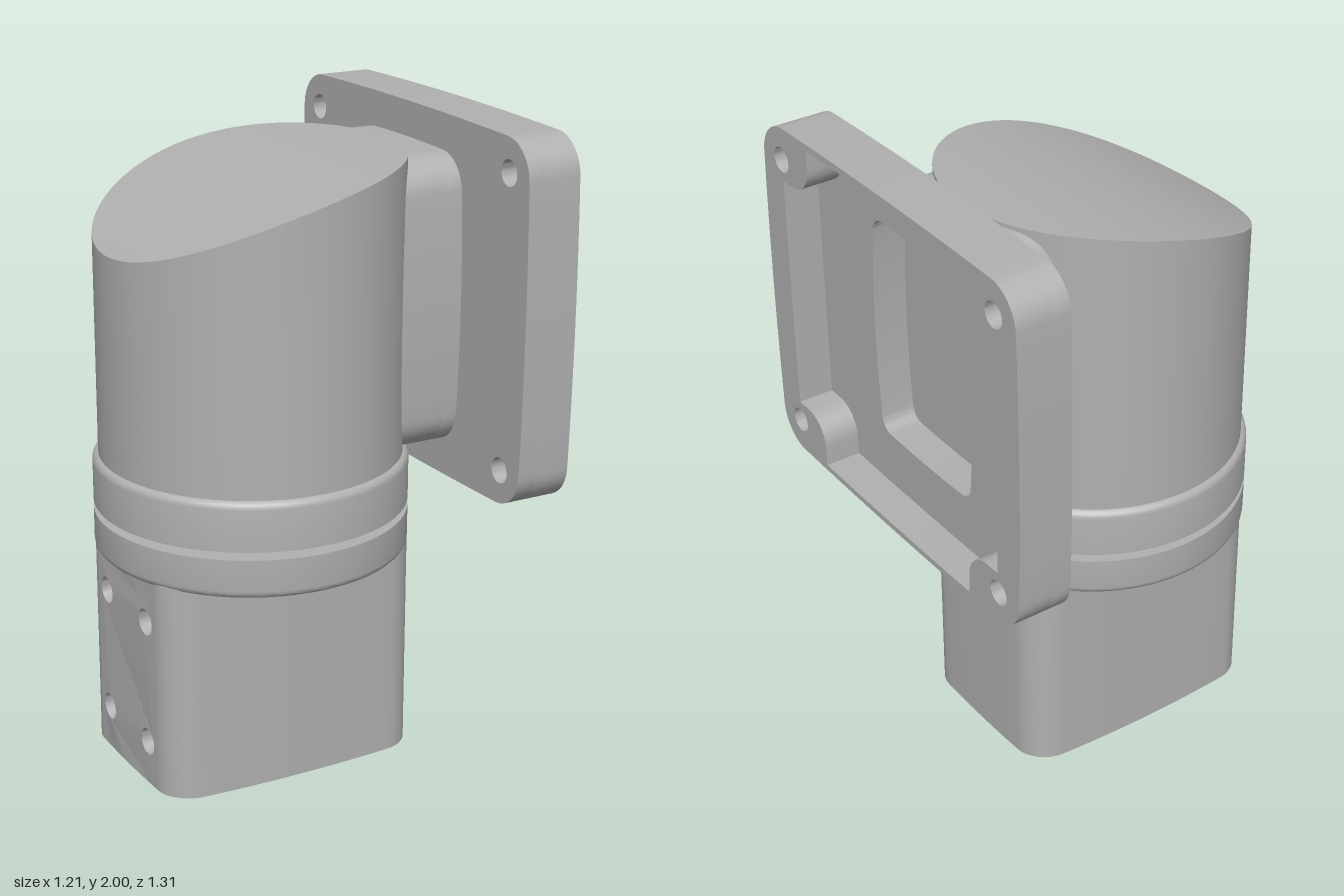
import * as THREE from 'three';
import { toCreasedNormals } from 'three/addons/utils/BufferGeometryUtils.js';

const V2 = (x, y) => new THREE.Vector2(x, y);
const AXIS_X = -0.12; // x of the round body's axis
const FLANGE_Y = 1.435; // height of the flange centre

// Bow the sides of an outline outwards: they fall back by bx, by (fractions) at the corners
const bow = (pts, hw, hh, bx, by) =>
  pts.map(p => V2(p.x * (1 - bx * (p.y / hh) ** 2), p.y * (1 - by * (p.x / hw) ** 2)));

// Rounded rectangle with bowed sides; its last (closing) side is the one at -x
function bowedRect(hw, hh, r, bx, by) {
  const pts = [];
  [[-1, -1], [1, -1], [1, 1], [-1, 1]].forEach(([sx, sy], k) => {
    for (let i = 0; i <= 8; i++) {
      const a = Math.PI + (k + i / 8) * Math.PI / 2;
      pts.push(V2(sx * (hw - r) + r * Math.cos(a), sy * (hh - r) + r * Math.sin(a)));
    }
    if (k === 3) return;
    const dx = [1, 0, -1][k], dy = [0, 1, 0][k], last = pts[pts.length - 1];
    const len = 2 * ((dx ? hw : hh) - r);
    for (let i = 1; i < 12; i++) pts.push(V2(last.x + dx * len * i / 12, last.y + dy * len * i / 12));
  });
  // subdivide the closing side too
  return { open: bow(pts, hw, hh, bx, by), closed: bow(pts.concat(
    Array.from({ length: 11 }, (_, i) => V2(-hw, (hh - r) * (1 - (i + 1) / 6)))), hw, hh, bx, by) };
}

const circle = (x, y, r) => Array.from({ length: 28 }, (_, i) =>
  V2(x + r * Math.cos(i * Math.PI / 14), y + r * Math.sin(i * Math.PI / 14)));

function extrude(outline, holes, depth) {
  const shape = new THREE.Shape(outline);
  shape.holes = holes.map(h => new THREE.Path(h));
  return new THREE.ExtrudeGeometry(shape, { depth, bevelEnabled: false });
}

export function createModel() {
  const model = new THREE.Group();
  const grey = new THREE.MeshStandardMaterial({ color: 0xb0b0b0 });
  grey.name = 'plain grey';

  const add = (name, geometry, parent = model) => {
    const mesh = new THREE.Mesh(toCreasedNormals(geometry, 0.6), grey);
    mesh.name = name;
    parent.add(mesh);
    return mesh;
  };
  const lathe = (name, pts) => {
    const mesh = add(name, new THREE.LatheGeometry(pts, 80));
    mesh.position.x = AXIS_X;
    return mesh;
  };

  // Socket: hollow bowed tube, open below; the -x wall is a separate drilled plate
  const socket = new THREE.Group();
  socket.name = 'socket';
  socket.position.x = AXIS_X;
  model.add(socket);
  const outer = { w: 0.435, h: 0.315 }, inner = { w: 0.37, h: 0.255 };
  const bx = 0.02, by = 0.065, height = 0.69;
  const out = bowedRect(outer.w, outer.h, 0.1, bx, by).open;
  const inn = bowedRect(inner.w, inner.h, 0.04, bx, by).open;
  add('socketWalls', extrude([...out, ...inn.reverse()], [], height).rotateX(-Math.PI / 2), socket);

  const half = 0.215 * (1 - by);
  const edge = Array.from({ length: 13 }, (_, i) => -half + 2 * half * i / 12);
  const plateOutline = [...edge.map(z => V2(z, 0)), ...edge.map(z => V2(-z, height))];
  const screwHoles = [];
  for (const z of [-0.137, 0.137]) for (const y of [0.14, 0.54]) screwHoles.push(circle(z, y, 0.042));
  const plate = extrude(plateOutline, screwHoles, outer.w - inner.w).rotateY(Math.PI / 2).translate(-outer.w, 0, 0);
  const pos = plate.attributes.position;
  for (let i = 0; i < pos.count; i++) {
    const x = pos.getX(i), hh = x < -0.4 ? outer.h : inner.h;
    pos.setX(i, x * (1 - bx * (pos.getZ(i) / (1 - by) / hh) ** 2));
  }
  add('drilledWall', plate, socket);

  // Swivel: two collars with one rounded rim each, joined by a short pin
  const R = 0.485, rim = 0.025;
  const arc = Array.from({ length: 6 }, (_, i) => i * Math.PI / 10);
  lathe('lowerCollar', [V2(0, 0.68),
    ...arc.map(a => V2(R - rim + rim * Math.sin(a), 0.68 + rim - rim * Math.cos(a))),
    V2(R, 0.805), V2(0, 0.805)]);
  lathe('upperCollar', [V2(0, 0.83), V2(R, 0.83),
    ...arc.map(a => V2(R - rim + rim * Math.cos(a), 0.985 - rim + rim * Math.sin(a))), V2(0, 0.985)]);
  lathe('swivelPin', [V2(0.085, 0.79), V2(0.085, 0.85)]);

  // Body: round column whose top is cut by a large arc
  const r = 0.467, arcR = 1.84;
  const profile = [V2(r, 0.95), V2(r, 2)];
  for (let i = 9; i >= 0; i--) profile.push(V2(r * i / 10, 2));
  const body = new THREE.LatheGeometry(profile, 96);
  const bp = body.attributes.position;
  for (let i = 0; i < bp.count; i++) {
    if (bp.getY(i) > 1.5) bp.setY(i, 1.9 - arcR + Math.sqrt(arcR ** 2 - (bp.getX(i) - r) ** 2));
  }
  add('body', body).position.x = AXIS_X;

  // Slabs stacked along x for the neck and flange
  const slab = (name, outline, holes, x0, x1) => {
    const mesh = add(name, extrude(outline, holes, x1 - x0).rotateY(Math.PI / 2));
    mesh.position.set(x0, FLANGE_Y, 0);
  };
  const neck = bowedRect(0.315, 0.455, 0.1, 0.065, 0.015).closed;
  const pocket = bowedRect(0.255, 0.368, 0.04, 0.08, 0.015).closed;
  const flange = bowedRect(0.655, 0.565, 0.11, 0.02, 0.02).closed;
  const bolts = [];
  for (const z of [-0.545, 0.545]) for (const y of [-0.452, 0.452]) bolts.push(circle(z, y, 0.04));

  // Recess outline: one quadrant with a rounded bolt boss, mirrored to all four
  const quad = [V2(0.545, 0.13), V2(0.545, 0.26), V2(0.545, 0.39)];
  for (let i = 0; i <= 8; i++) {
    const a = -Math.PI / 2 - i * Math.PI / 16;
    quad.push(V2(0.49 + 0.09 * Math.cos(a), 0.48 + 0.09 * Math.sin(a)));
  }
  quad.push(V2(0.4, 0.546), V2(0.26, 0.546), V2(0.13, 0.546));
  const recess = [];
  for (const [sx, sy] of [[1, 1], [-1, 1], [-1, -1], [1, -1]]) {
    const part = quad.map(p => V2(p.x * sx, p.y * sy));
    recess.push(...(sx * sy > 0 ? part : part.reverse()));
  }

  slab('neck', neck, [], 0.21, 0.38);
  slab('neckPocket', neck, [pocket], 0.38, 0.43);
  slab('flangePlate', flange, [pocket, ...bolts], 0.43, 0.49);
  slab('flangeRim', flange, [bow(recess, 0.545, 0.546, 0.01, 0.015), ...bolts], 0.49, 0.605);

  return model;
}
